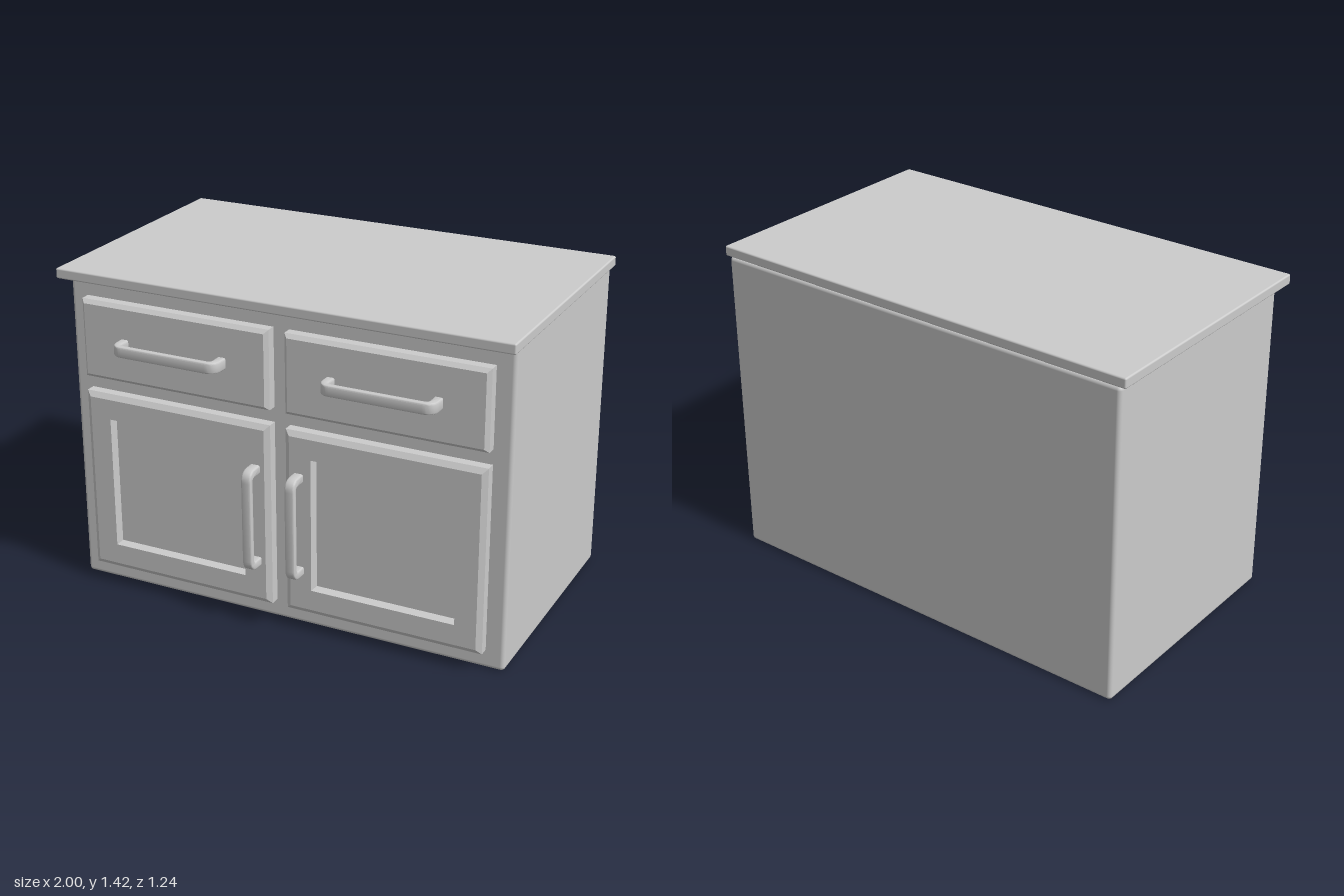
import * as THREE from 'three';
import { RoundedBoxGeometry } from 'three/addons/geometries/RoundedBoxGeometry.js';
import { toCreasedNormals } from 'three/addons/utils/BufferGeometryUtils.js';

const material = new THREE.MeshStandardMaterial({ color: 0xcccccc });

function addMesh(parent, name, geometry) {
  const mesh = new THREE.Mesh(geometry, material);
  mesh.name = name;
  parent.add(mesh);
  return mesh;
}

function roundedBox(x0, x1, y0, y1, z0, z1, radius) {
  return new RoundedBoxGeometry(x1 - x0, y1 - y0, z1 - z0, 3, radius)
    .translate((x0 + x1) / 2, (y0 + y1) / 2, (z0 + z1) / 2);
}

// Panel skinned over nested rectangles, each given as [x0, x1, y0, y1, z], capped at the last
function panelGeometry(rings) {
  const corners = rings.map(([x0, x1, y0, y1, z]) =>
    [[x0, y0, z], [x1, y0, z], [x1, y1, z], [x0, y1, z]]);
  const positions = [];
  const quad = (a, b, c, d) => positions.push(...a, ...b, ...c, ...a, ...c, ...d);
  for (let i = 0; i < corners.length - 1; i++) {
    for (let j = 0; j < 4; j++) {
      const k = (j + 1) % 4;
      quad(corners[i][j], corners[i][k], corners[i + 1][k], corners[i + 1][j]);
    }
  }
  quad(...corners[corners.length - 1]);
  const geometry = new THREE.BufferGeometry();
  geometry.setAttribute('position', new THREE.Float32BufferAttribute(positions, 3));
  geometry.computeVertexNormals();
  return geometry;
}

const inset = ([x0, x1, y0, y1], d, z) => [x0 + d, x1 - d, y0 + d, y1 - d, z];

// Flat U-shaped pull, lying along x and standing out towards +z
function handleGeometry(length, reach, width) {
  const bevel = 0.007, leg = 0.036, bar = 0.027;
  const o = length / 2 - bevel, h = reach - bevel, r = 0.045;
  const i = length / 2 - leg + bevel, g = reach - bar + bevel, q = 0.022;
  const shape = new THREE.Shape();
  shape.moveTo(-o, 0);
  shape.lineTo(-i, 0);
  shape.lineTo(-i, g - q);
  shape.quadraticCurveTo(-i, g, -i + q, g);
  shape.lineTo(i - q, g);
  shape.quadraticCurveTo(i, g, i, g - q);
  shape.lineTo(i, 0);
  shape.lineTo(o, 0);
  shape.lineTo(o, h - r);
  shape.quadraticCurveTo(o, h, o - r, h);
  shape.lineTo(-o + r, h);
  shape.quadraticCurveTo(-o, h, -o, h - r);
  shape.closePath();
  const depth = width - 2 * bevel;
  const geometry = new THREE.ExtrudeGeometry(shape, {
    depth, bevelEnabled: true, bevelSize: bevel, bevelThickness: bevel,
    bevelSegments: 3, curveSegments: 8,
  });
  geometry.translate(0, 0, -depth / 2).rotateX(Math.PI / 2);
  return toCreasedNormals(geometry, 0.7);
}

export function createModel() {
  const group = new THREE.Group();
  const back = 0.475, front = 0.535;

  // Carcass and worktop
  addMesh(group, 'cabinetBody', roundedBox(-0.98, 0.98, 0, 1.376, -0.617, 0.478, 0.018));
  addMesh(group, 'countertop', roundedBox(-1, 1, 1.374, 1.418, -0.617, 0.553, 0.007));

  for (const side of [1, -1]) {
    const label = side > 0 ? 'left' : 'right';
    const span = (a, b) => (side > 0 ? [a, b] : [-b, -a]);

    // Drawer front with chamfered rim
    const drawer = [...span(0.035, 0.9), 0.955, 1.295];
    addMesh(group, label + 'DrawerFront', panelGeometry([
      inset(drawer, 0, back), inset(drawer, 0, front - 0.016), inset(drawer, 0.016, front),
    ]));

    // Door with chamfered rim and sunken centre panel
    const door = [...span(0.035, 0.9), 0.083, 0.89];
    const recess = [...span(0.153, 0.785), 0.195, 0.78];
    addMesh(group, label + 'Door', panelGeometry([
      inset(door, 0, back), inset(door, 0, front - 0.016), inset(door, 0.022, front),
      inset(recess, 0, front), inset(recess, 0.011, front - 0.03),
    ]));

    // Pulls
    addMesh(group, label + 'DrawerHandle', handleGeometry(0.49, 0.084, 0.047))
      .position.set(side * 0.468, 1.127, front);
    addMesh(group, label + 'DoorHandle', handleGeometry(0.452, 0.084, 0.043).rotateZ(Math.PI / 2))
      .position.set(side * 0.098, 0.486, front);
  }
  return group;
}
